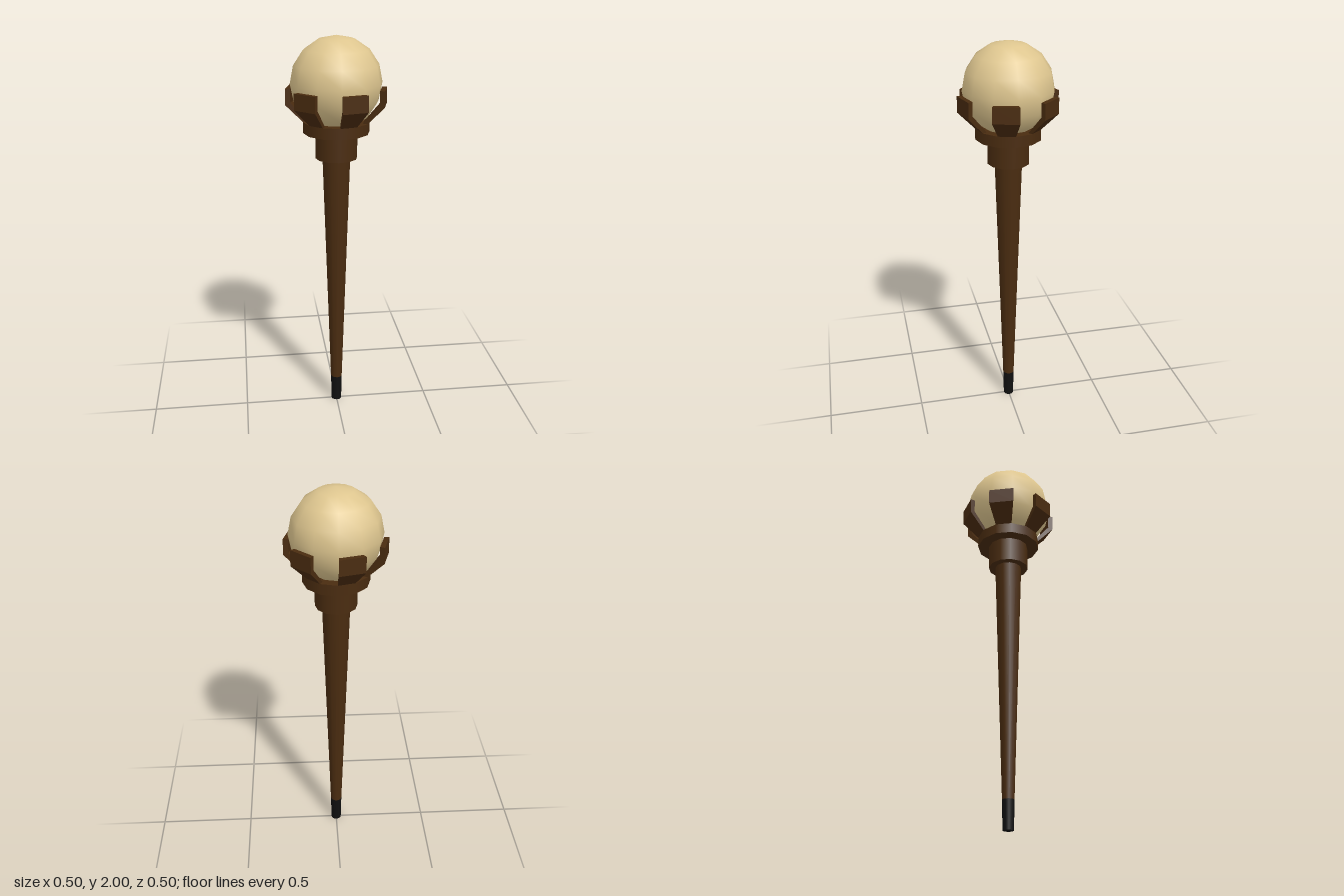
import * as THREE from 'three';

const SIDES = 12;
const wood = new THREE.MeshStandardMaterial({ color: 0x4a2c10 });
wood.name = 'darkWood';
const ivory = new THREE.MeshStandardMaterial({ color: 0xdec68f });
ivory.name = 'ivory';
const black = new THREE.MeshStandardMaterial({ color: 0x101010 });
black.name = 'blackTip';

// Upright tapered cylinder between two heights
function post(name, rTop, rBottom, y0, y1, material) {
  const mesh = new THREE.Mesh(new THREE.CylinderGeometry(rTop, rBottom, y1 - y0, SIDES), material);
  mesh.position.y = (y0 + y1) / 2;
  mesh.name = name;
  return mesh;
}

// One prong: a closed (radius, height) profile swept across one side of the ring
function prongGeometry() {
  const profile = [[0.14, 1.585], [0.165, 1.585], [0.25, 1.67], [0.25, 1.75], [0.225, 1.75], [0.225, 1.68]]
    .map(([r, y]) => new THREE.Vector2(r, y));
  const angle = (Math.PI * 2) / SIDES;
  const at = (p, a) => [p.x * Math.sin(a), p.y, p.x * Math.cos(a)];
  const pos = [];
  profile.forEach((p, i) => {
    const q = profile[(i + 1) % profile.length];
    pos.push(...at(p, 0), ...at(p, angle), ...at(q, 0));
    pos.push(...at(p, angle), ...at(q, angle), ...at(q, 0));
  });
  // End faces
  for (const [a, b, c] of THREE.ShapeUtils.triangulateShape(profile, [])) {
    for (const i of [a, b, c]) pos.push(...at(profile[i], 0));
    for (const i of [c, b, a]) pos.push(...at(profile[i], angle));
  }
  const geometry = new THREE.BufferGeometry();
  geometry.setAttribute('position', new THREE.Float32BufferAttribute(pos, 3));
  geometry.computeVertexNormals();
  return geometry;
}

export function createModel() {
  const group = new THREE.Group();
  group.name = 'cane';

  // Shaft, tip and stepped collar
  group.add(
    post('tip', 0.03, 0.027, 0, 0.145, black),
    post('shaft', 0.07, 0.03, 0.145, 1.4, wood),
    post('neck', 0.105, 0.105, 1.4, 1.53, wood),
    post('collar', 0.165, 0.165, 1.53, 1.585, wood),
  );

  // Round knob
  const knob = new THREE.Mesh(new THREE.SphereGeometry(0.226, SIDES, 8), ivory);
  knob.position.y = 1.774;
  knob.name = 'knob';
  group.add(knob);

  // Six prongs holding the knob
  const prongs = new THREE.Group();
  prongs.name = 'prongs';
  const geometry = prongGeometry();
  for (let i = 0; i < 6; i++) {
    const prong = new THREE.Mesh(geometry, wood);
    prong.rotation.y = (i * Math.PI) / 3;
    prong.name = 'prong' + (i + 1);
    prongs.add(prong);
  }
  group.add(prongs);
  return group;
}
